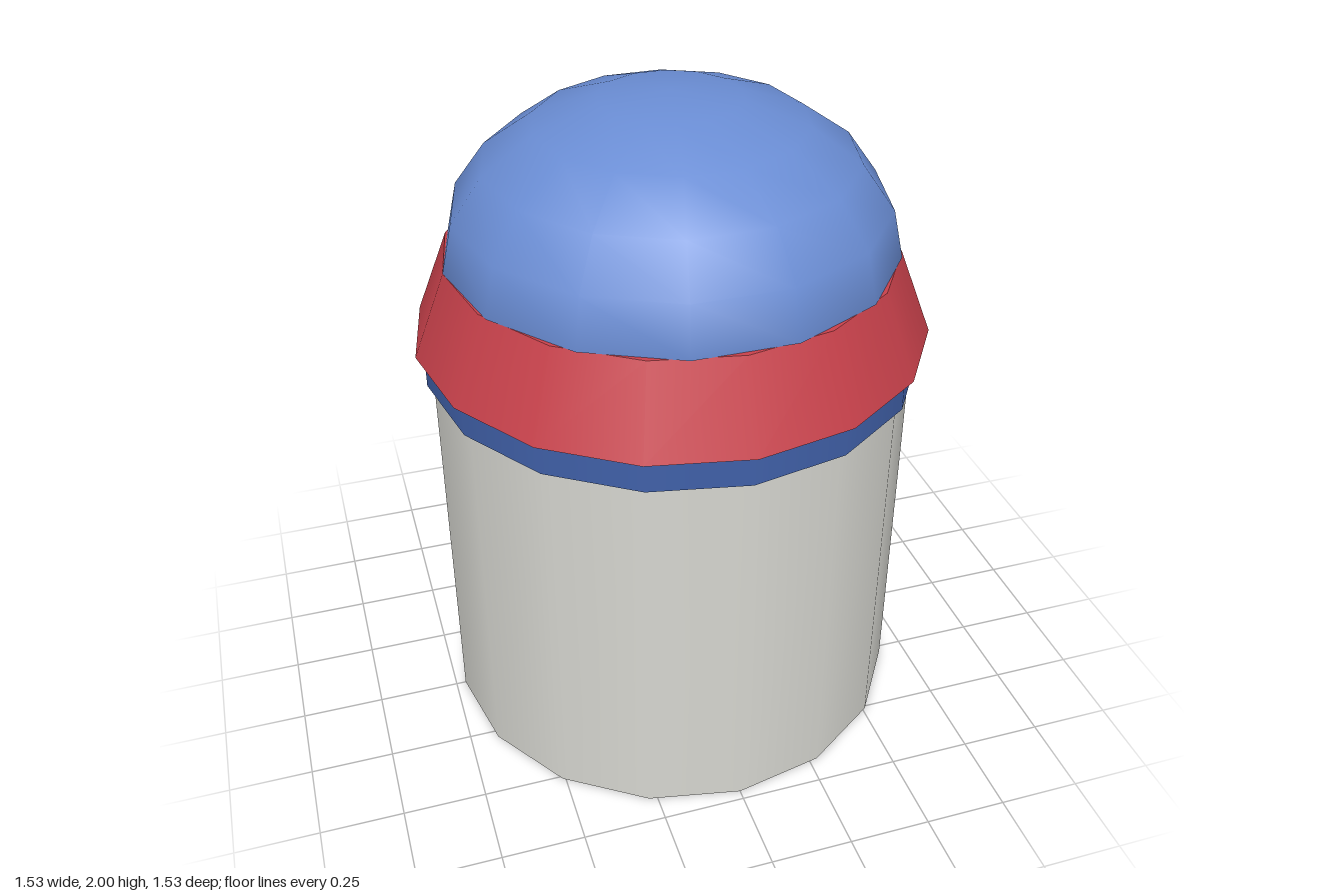
import * as THREE from 'three';

const SIDES = 16;

export function createModel() {
  const group = new THREE.Group();

  const add = (name, geometry, color, y) => {
    const mesh = new THREE.Mesh(geometry, new THREE.MeshStandardMaterial({ color }));
    mesh.name = name;
    mesh.position.y = y;
    group.add(mesh);
    return mesh;
  };

  // Closed drum standing between two heights
  const drum = (name, color, rTop, rBottom, y0, y1) =>
    add(name, new THREE.CylinderGeometry(rTop, rBottom, y1 - y0, SIDES), color, (y0 + y1) / 2);

  drum('body', 0xd6d6d0, 0.72, 0.72, 0, 1.18);
  drum('neckBand', 0x4060a8, 0.74, 0.74, 1.18, 1.28);
  drum('taperedCollar', 0xc8414b, 0.665, 0.765, 1.28, 1.535);

  // Flattened half-sphere cap
  const domeGeometry = new THREE.SphereGeometry(0.665, 14, 5, 0, Math.PI * 2, 0, Math.PI / 2);
  domeGeometry.scale(1, 0.7, 1);
  add('dome', domeGeometry, 0x6a8dd4, 1.535);

  return group;
}
